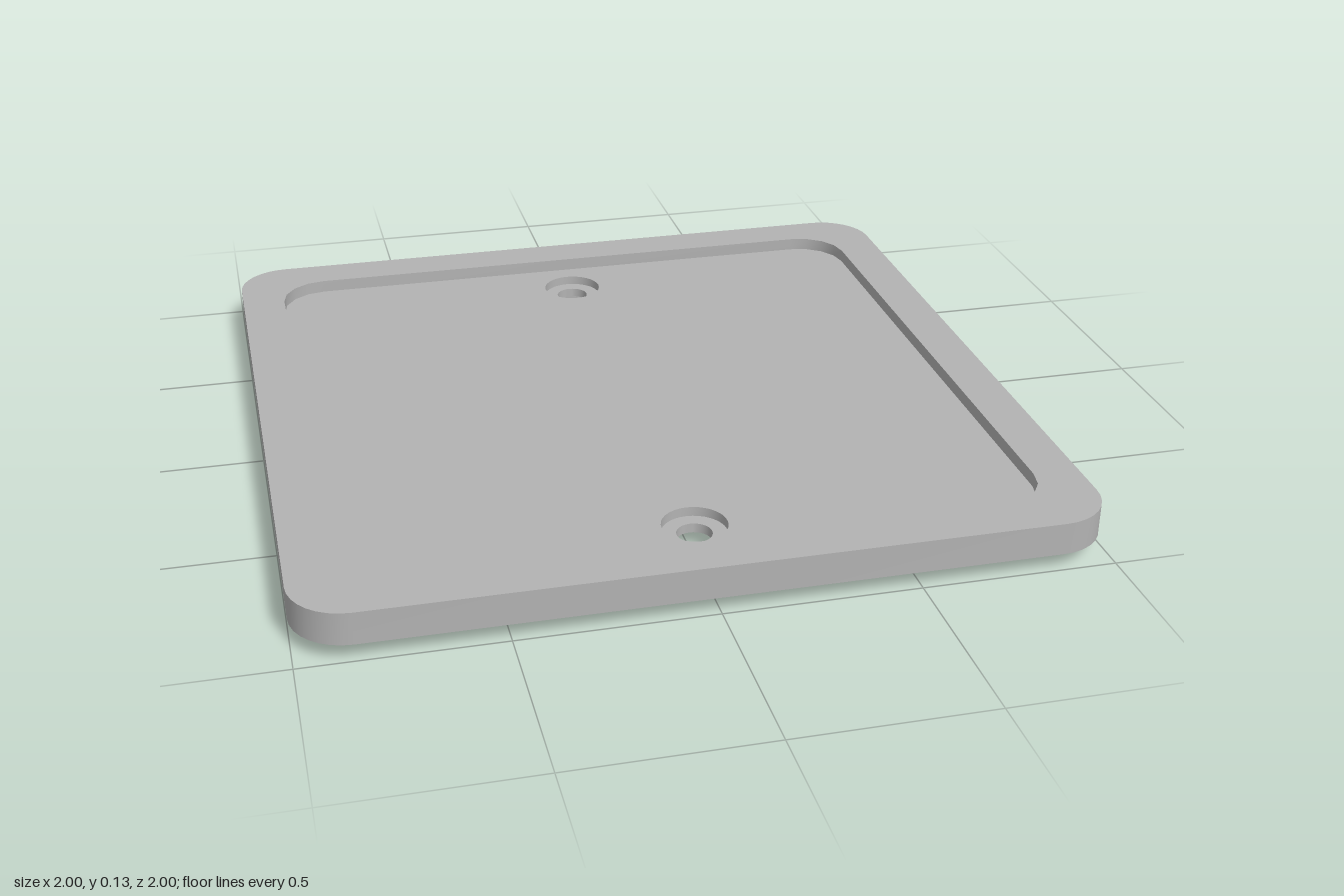
import * as THREE from 'three';
import { toCreasedNormals } from 'three/addons/utils/BufferGeometryUtils.js';

// Counter-clockwise rounded square, centred on the origin
function roundedSquare(half, radius, segments) {
  const points = [];
  const c = half - radius;
  [[c, c], [-c, c], [-c, -c], [c, -c]].forEach(([x, y], corner) => {
    for (let i = 0; i <= segments; i++) {
      const a = (corner + i / segments) * Math.PI / 2;
      points.push(new THREE.Vector2(x + radius * Math.cos(a), y + radius * Math.sin(a)));
    }
  });
  return points;
}

function circle(radius, cy) {
  return Array.from({ length: 32 }, (_, i) => {
    const a = i / 32 * Math.PI * 2;
    return new THREE.Vector2(radius * Math.cos(a), cy + radius * Math.sin(a));
  });
}

// Horizontal face with holes, looking up or down
function face(outline, holes, y, up) {
  const shape = new THREE.Shape(outline);
  shape.holes = holes.map((h) => new THREE.Path(h));
  return new THREE.ShapeGeometry(shape).rotateX(up ? -Math.PI / 2 : Math.PI / 2).translate(0, y, 0);
}

// Vertical wall along a loop, looking outward or inward
function wall(loop, y0, y1, outward) {
  const pos = [];
  loop.forEach((p, i) => {
    const q = loop[(i + 1) % loop.length];
    const [a, b] = outward ? [p, q] : [q, p];
    pos.push(a.x, y0, -a.y, b.x, y0, -b.y, b.x, y1, -b.y);
    pos.push(a.x, y0, -a.y, b.x, y1, -b.y, a.x, y1, -a.y);
  });
  const g = new THREE.BufferGeometry();
  g.setAttribute('position', new THREE.Float32BufferAttribute(pos, 3));
  return toCreasedNormals(g, 0.5);
}

export function createModel() {
  const group = new THREE.Group();
  group.name = 'coverPlate';
  const grey = new THREE.MeshStandardMaterial({ color: 0xb3b3b3 });
  grey.name = 'grey';
  const add = (name, geometry) => {
    const mesh = new THREE.Mesh(geometry, grey);
    mesh.name = name;
    group.add(mesh);
  };

  // Heights
  const under = 0.045, seat = 0.07, floor = 0.095, top = 0.13;
  // Outlines
  const rim = roundedSquare(1, 0.14, 8);
  const recess = roundedSquare(0.88, 0.13, 4);
  const lipOuter = roundedSquare(0.925, 0.09, 6);
  const lipInner = roundedSquare(0.865, 0.05, 3);
  const centres = [-0.74, 0.74];
  const bores = centres.map((c) => circle(0.083, c));
  const holes = centres.map((c) => circle(0.045, c));

  // Rim and sunken top panel
  add('rimSide', wall(rim, under, top, true));
  add('rimTop', face(rim, [recess], top, true));
  add('recessWall', wall(recess, floor, top, false));
  add('recessFloor', face(recess, bores, floor, true));

  // Counterbored screw holes
  centres.forEach((_, i) => {
    add('counterboreWall', wall(bores[i], seat, floor, false));
    add('counterboreSeat', face(bores[i], [holes[i]], seat, true));
    add('screwHole', wall(holes[i], under, seat, false));
  });

  // Underside with a locating lip
  add('rimUnderside', face(rim, [lipOuter], under, false));
  add('lipOuterWall', wall(lipOuter, 0, under, true));
  add('lipBottom', face(lipOuter, [lipInner], 0, false));
  add('lipInnerWall', wall(lipInner, 0, under, false));
  add('panelUnderside', face(lipInner, holes, under, false));

  return group;
}
